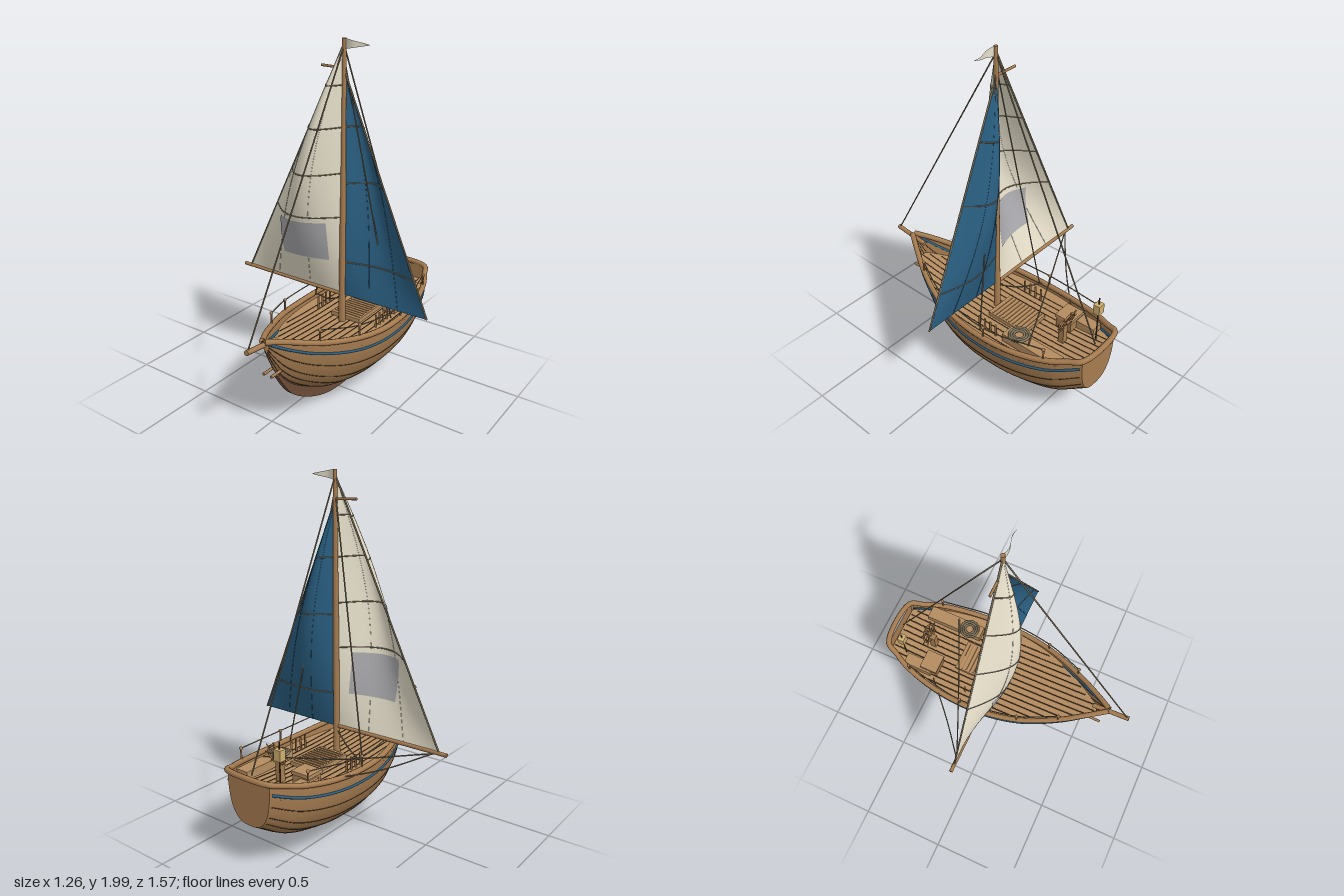
import * as THREE from 'three';

const V = (x, y, z) => new THREE.Vector3(x, y, z);
const mat = (color) => new THREE.MeshStandardMaterial({ color, side: THREE.DoubleSide });
const WOOD = mat(0xa67c50), DECK = mat(0xb48c60), DARK = mat(0x4a3828), KEEL = mat(0x6b4a38);
const BLUE = mat(0x2a5f82), CREAM = mat(0xe6dfca), GREY = mat(0xaaa9ad), ROPE = mat(0x857860);
const LAMP = mat(0xd0b070);

// Hull stations: z, half width, sheer height, keel height, fullness exponent
const STATIONS = [
  [-0.755, 0.145, 0.53, 0.26, 0.75], [-0.6, 0.225, 0.49, 0.165, 0.82], [-0.4, 0.275, 0.46, 0.105, 0.9],
  [-0.2, 0.293, 0.45, 0.08, 0.95], [0, 0.283, 0.455, 0.085, 0.95], [0.2, 0.24, 0.48, 0.115, 1],
  [0.4, 0.155, 0.52, 0.215, 1.1], [0.54, 0.075, 0.565, 0.345, 1.2], [0.65, 0.006, 0.592, 0.56, 1.2],
];
const Z0 = -0.755, Z1 = 0.65, MZ = -0.045;

// Smooth interpolation of one station column
function at(z, k) {
  const S = STATIONS, n = S.length - 1;
  let i = 0;
  while (i < n - 1 && z > S[i + 1][0]) i++;
  const slope = (j) => {
    const a = S[Math.max(j - 1, 0)], b = S[Math.min(j + 1, n)];
    return (b[k] - a[k]) / (b[0] - a[0]);
  };
  const h = S[i + 1][0] - S[i][0], t = (z - S[i][0]) / h, t2 = t * t, t3 = t2 * t;
  return (2 * t3 - 3 * t2 + 1) * S[i][k] + (t3 - 2 * t2 + t) * h * slope(i)
    + (3 * t2 - 2 * t3) * S[i + 1][k] + (t3 - t2) * h * slope(i + 1);
}
const sheer = (z) => at(z, 2);
const deckY = (z) => 0.41 + 0.4 * (sheer(z) - 0.45);

// Point on the hull at angle a (0 = rail, PI/2 = keel)
function hullAt(z, a, side) {
  const p = at(z, 4), c = Math.max(Math.cos(a), 0), s = Math.min(Math.sin(a), 1);
  return V(side * at(z, 1) * c ** p, sheer(z) - (sheer(z) - at(z, 3)) * s ** p, z);
}
// Point on the hull at a fraction of its depth
const hullFrac = (z, f, side) => hullAt(z, Math.asin(Math.min(f, 1) ** (1 / at(z, 4))), side);
const deckHalf = (z) => hullFrac(z, (sheer(z) - deckY(z)) / (sheer(z) - at(z, 3)), 1).x;

// Surface from a rule fn(u, v)
function surface(nu, nv, fn) {
  const g = new THREE.PlaneGeometry(1, 1, nu, nv), uv = g.attributes.uv, pos = g.attributes.position;
  for (let i = 0; i < pos.count; i++) {
    const p = fn(uv.getX(i), uv.getY(i));
    pos.setXYZ(i, p.x, p.y, p.z);
  }
  g.computeVertexNormals();
  return g;
}
const tube = (pts, r, seg = 32, sides = 6) =>
  new THREE.TubeGeometry(new THREE.CatmullRomCurve3(pts, false, 'centripetal'), seg, r, sides);
const sample = (n, fn) => Array.from({ length: n + 1 }, (_, i) => fn(i / n));

export function createModel() {
  const model = new THREE.Group();
  model.name = 'sailboat';
  const boat = new THREE.Group();
  boat.position.x = 0.085;
  model.add(boat);
  const add = (name, geo, material, x = 0, y = 0, z = 0, parent = boat) => {
    const m = new THREE.Mesh(geo, material);
    m.name = name;
    m.position.set(x, y, z);
    parent.add(m);
    return m;
  };
  const rod = (name, a, b, r, material, sides = 8, r2 = r) => {
    const g = new THREE.CylinderGeometry(r2, r, a.distanceTo(b), sides);
    const m = add(name, g, material);
    m.position.copy(a).lerp(b, 0.5);
    m.quaternion.setFromUnitVectors(V(0, 1, 0), b.clone().sub(a).normalize());
    return m;
  };
  const box = (name, w, h, d, x, y, z, material) => add(name, new THREE.BoxGeometry(w, h, d), material, x, y, z);

  // Hull shell and transom
  add('hull', surface(64, 36, (u, v) => {
    const a = v * Math.PI, side = v < 0.5 ? 1 : -1;
    return hullAt(Z0 + (Z1 - Z0) * u, a < Math.PI / 2 ? a : Math.PI - a, side);
  }), WOOD);
  add('transom', surface(8, 16, (u, v) => {
    const p = hullAt(Z0, v * Math.PI / 2, 1);
    return V(p.x * (2 * u - 1), p.y, Z0);
  }), WOOD);

  // Rail round the whole sheer
  const railSide = (side) => sample(20, (t) => {
    const z = Z0 - 0.003 + (Z1 - Z0) * t;
    return V(side * at(z, 1), sheer(z), z);
  });
  add('rail', tube([...railSide(1).reverse(), ...railSide(-1)], 0.016, 160, 8), WOOD);

  // Stripes and plank seams on both sides
  for (const side of [1, -1]) {
    const line = (f, z1) => sample(30, (t) => {
      const p = hullFrac(Z0 + 0.01 + (z1 - Z0 - 0.01) * t, f, side);
      return p;
    });
    add('hullStripe', tube(line(0.21, 0.645), 0.008, 80), BLUE);
    for (const f of [0.45, 0.68, 0.83, 0.95]) add('plankSeam', tube(line(f, 0.63), 0.0025, 70, 4), DARK);
    rod('bowPipe', V(side * 0.025, 0.385, 0.5), V(side * 0.025, 0.385, 0.625), 0.008, WOOD);
  }

  // Keel
  const keel = new THREE.Shape();
  keel.moveTo(0.56, 0.35);
  keel.splineThru([[0.43, 0.175], [0.2, 0.045], [-0.03, 0.003], [-0.25, 0.035], [-0.39, 0.09]].map((p) => new THREE.Vector2(...p)));
  keel.lineTo(-0.2, 0.11);
  keel.lineTo(0.2, 0.14);
  keel.lineTo(0.42, 0.25);
  keel.lineTo(0.53, 0.36);
  const keelGeo = new THREE.ExtrudeGeometry(keel, { depth: 0.03, bevelEnabled: false, curveSegments: 24 });
  add('keel', keelGeo.rotateY(-Math.PI / 2), KEEL, 0.015);

  // Deck with plank lines
  add('deck', surface(4, 48, (u, v) => {
    const z = -0.75 + 1.33 * v;
    return V((2 * u - 1) * deckHalf(z), deckY(z), z);
  }), DECK);
  for (let i = -6; i <= 6; i++) {
    const x = i * 0.038;
    const pts = sample(60, (t) => -0.74 + 1.31 * t).filter((z) => deckHalf(z) > Math.abs(x) + 0.01).map((z) => V(x, deckY(z) + 0.001, z));
    add('deckSeam', tube(pts, 0.003, 24, 4), DARK);
  }

  // Grated hatch
  box('hatch', 0.19, 0.03, 0.26, 0.005, 0.42, -0.2, DECK);
  for (let i = 0; i < 10; i++) box('hatchSlat', 0.17, 0.006, 0.008, 0.005, 0.436, -0.31 + i * 0.024, WOOD);

  // Seats and crate
  box('bench', 0.08, 0.05, 0.36, 0.175, 0.445, -0.45, DECK);
  box('bench', 0.07, 0.05, 0.18, -0.17, 0.445, -0.54, DECK);
  box('crate', 0.11, 0.07, 0.1, -0.135, 0.445, -0.465, WOOD);
  box('crateLid', 0.12, 0.02, 0.11, -0.135, 0.49, -0.465, DECK);

  // Rope coil
  for (let i = 0; i < 3; i++) {
    const coil = add('ropeCoil', new THREE.TorusGeometry(0.055 - i * 0.013, 0.007, 6, 24), ROPE, 0.165, 0.478, -0.35);
    coil.rotation.x = Math.PI / 2;
  }

  // Steering wheel
  box('wheelPost', 0.035, 0.13, 0.035, 0, 0.48, -0.52, WOOD);
  const wheel = new THREE.Group();
  wheel.name = 'wheel';
  wheel.position.set(0, 0.575, -0.545);
  wheel.rotation.x = -0.28;
  boat.add(wheel);
  add('wheelRim', new THREE.TorusGeometry(0.056, 0.006, 6, 28), WOOD, 0, 0, 0, wheel);
  add('wheelHub', new THREE.CylinderGeometry(0.013, 0.013, 0.03, 12).rotateX(Math.PI / 2), WOOD, 0, 0, 0, wheel);
  for (let i = 0; i < 4; i++) {
    add('wheelSpoke', new THREE.CylinderGeometry(0.004, 0.004, 0.16, 6), WOOD, 0, 0, 0, wheel).rotation.z = i * Math.PI / 4;
  }

  // Lantern on a post
  rod('lanternPost', V(-0.125, 0.43, -0.655), V(-0.125, 0.72, -0.655), 0.004, DARK);
  box('lantern', 0.045, 0.06, 0.04, -0.125, 0.65, -0.655, LAMP);

  // Guard rails and belaying pins
  for (const side of [1, -1]) {
    const tops = [0.39, 0.16, -0.2, -0.57].map((z) => {
      const base = V(side * at(z, 1), sheer(z), z), top = base.clone().add(V(0, 0.075, 0));
      rod('stanchion', base, top, 0.005, WOOD);
      add('stanchionKnob', new THREE.SphereGeometry(0.01, 10, 8), WOOD, top.x, top.y, top.z);
      return top;
    });
    add('guardRope', tube(tops, 0.0035, 40), ROPE);
    for (let i = 0; i < 4; i++) {
      const z = -0.09 - i * 0.04, x = side * 0.2;
      rod('belayingPin', V(x, 0.41, z), V(x, 0.485, z), 0.006, WOOD);
    }
  }

  // Spars
  rod('mast', V(0, 0.4, MZ), V(0, 1.995, MZ), 0.02, WOOD, 14, 0.011);
  rod('boom', V(-0.72, 0.588, MZ), V(0.005, 0.58, MZ), 0.011, WOOD, 10);
  rod('bowsprit', V(0, 0.56, 0.55), V(0, 0.588, 0.775), 0.014, WOOD, 10);
  rod('mastSpur', V(0, 1.845, MZ), V(-0.14, 1.85, MZ), 0.007, WOOD);

  // Sails with seams and edge ropes
  const makeSail = (name, material, foot, y0, top, belly, seams) => {
    const point = (u, v) => V(foot * u * (1 - v), y0 + (top - y0) * v, MZ + belly * Math.sin(Math.PI * u) * Math.sin(Math.PI * v));
    add(name, surface(28, 40, point), material);
    for (const y of seams) add('sailSeam', tube(sample(16, (t) => point(t, (y - y0) / (top - y0))), 0.0035, 32, 5), ROPE);
    for (const u of [0.33, 0.67]) add('sailRib', tube(sample(16, (t) => point(u, t * 0.98)), 0.002, 32, 4), material);
    rod('sailEdge', point(1, 0), point(1, 1), 0.005, ROPE, 6);
    return point;
  };
  const main = makeSail('mainSail', CREAM, -0.675, 0.588, 1.97, 0.165, [1.76, 1.54, 1.29, 1.04]);
  makeSail('blueSail', BLUE, 0.54, 0.578, 1.84, -0.1, [1.54, 1.23, 0.775]);

  // Square patch on both faces of the main sail
  for (const off of [0.004, -0.004]) {
    add('sailPatch', surface(12, 12, (s, t) => {
      const v = (0.78 + 0.23 * t - 0.588) / 1.382, x = -0.355 + 0.285 * s;
      const p = main(x / (-0.675 * (1 - v)), v);
      p.z += off;
      return p;
    }), GREY);
  }

  // Pennant
  add('pennant', surface(8, 2, (u, v) => V(0.008 + 0.145 * u, 1.968 + (v - 0.5) * 0.055 * (1 - u), MZ + 0.008 * Math.sin(u * 6))), CREAM);

  // Standing rigging and boom lines
  const head = V(0, 1.96, MZ), boomEnd = V(-0.64, 0.578, MZ);
  rod('forestay', head, V(0, 0.59, 0.765), 0.004, ROPE, 6);
  rod('backstay', head, V(0, 0.53, -0.73), 0.004, ROPE, 6);
  for (const side of [1, -1]) rod('shroud', V(0, 1.9, MZ), V(side * 0.262, 0.46, -0.15), 0.004, ROPE, 6);
  add('boomLine', tube([boomEnd, V(-0.43, 0.49, -0.22), V(-0.215, 0.45, -0.42)], 0.004), ROPE);
  add('boomLine', tube([boomEnd, V(-0.2, 0.5, -0.25), V(0.2, 0.475, -0.44)], 0.004), ROPE);
  add('mastLine', tube([V(0, 0.56, MZ), V(-0.13, 0.49, -0.1), V(-0.27, 0.46, -0.16)], 0.004), ROPE);
  return model;
}
